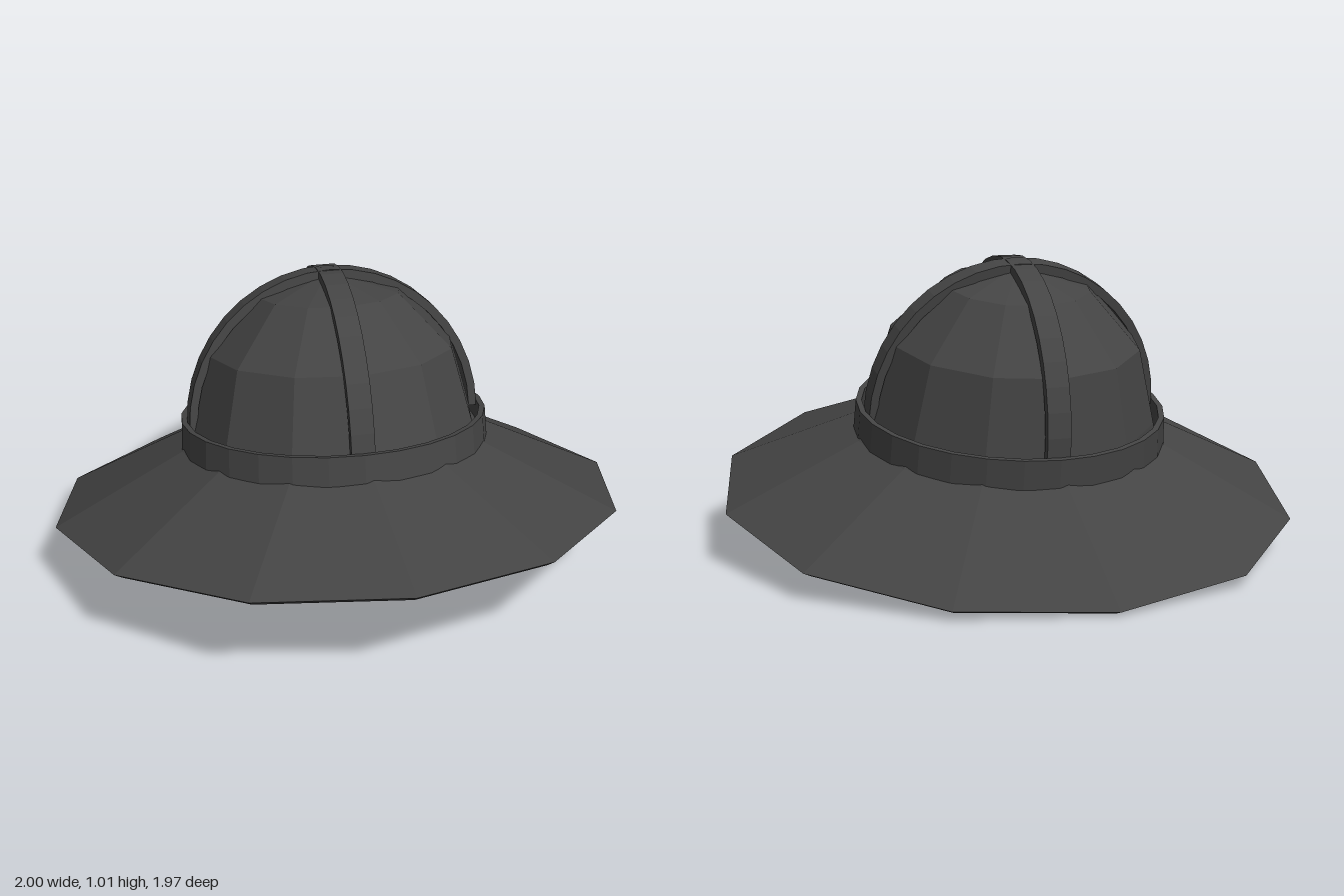
import * as THREE from 'three';

export function createModel() {
  const group = new THREE.Group();
  group.name = 'sunHat';
  const material = new THREE.MeshStandardMaterial({ color: 0x444444, flatShading: true });
  const rad = THREE.MathUtils.degToRad;
  const baseY = 0.3; // height of the dome's equator above the rim

  // The whole hat leans back, so its front edge is raised
  const hat = new THREE.Group();
  hat.name = 'tiltedHat';
  hat.rotation.x = rad(-10);
  hat.position.y = 0.185;
  group.add(hat);

  const add = (name, geometry) => {
    const mesh = new THREE.Mesh(geometry, material);
    mesh.name = name;
    hat.add(mesh);
    return mesh;
  };
  const v = (x, y) => new THREE.Vector2(x, y);

  // Coarse dome profile, from the equator up to the apex
  const arc = (rx, ry) => [0, 30, 60, 90].map((a) =>
    v(a === 90 ? 0 : rx * Math.cos(rad(a)), baseY + ry * Math.sin(rad(a))));

  // Crown and brim: one hollow twelve-sided shell, inside then outside
  const shell = [
    ...arc(0.48, 0.495).reverse(),
    v(0.485, 0.25), v(0.56, 0.19), v(0.97, -0.015),
    v(1.0, 0.003), v(0.545, 0.225), v(0.505, 0.26),
    ...arc(0.5, 0.518),
  ];
  add('crownAndBrim', new THREE.LatheGeometry(shell, 12, rad(3)));

  // Band around the foot of the crown
  const band = [v(0.515, 0.22), v(0.54, 0.22), v(0.535, 0.32), v(0.515, 0.32), v(0.515, 0.22)];
  add('hatBand', new THREE.LatheGeometry(band, 28));

  // Two crossing straps: half rings over the crown
  const width = 0.08, steps = 20;
  const ring = (rx, ry) => Array.from({ length: steps + 1 }, (_, i) => {
    const a = (Math.PI * i) / steps;
    return v(rx * Math.cos(a), baseY + ry * Math.sin(a));
  });
  const strapShape = new THREE.Shape([...ring(0.513, 0.532), ...ring(0.485, 0.5).reverse()]);
  const strap = new THREE.ExtrudeGeometry(strapShape, { depth: width, bevelEnabled: false });
  strap.translate(0, 0, -width / 2);
  add('sideToSideStrap', strap);
  add('frontToBackStrap', strap).rotation.y = Math.PI / 2;

  return group;
}
